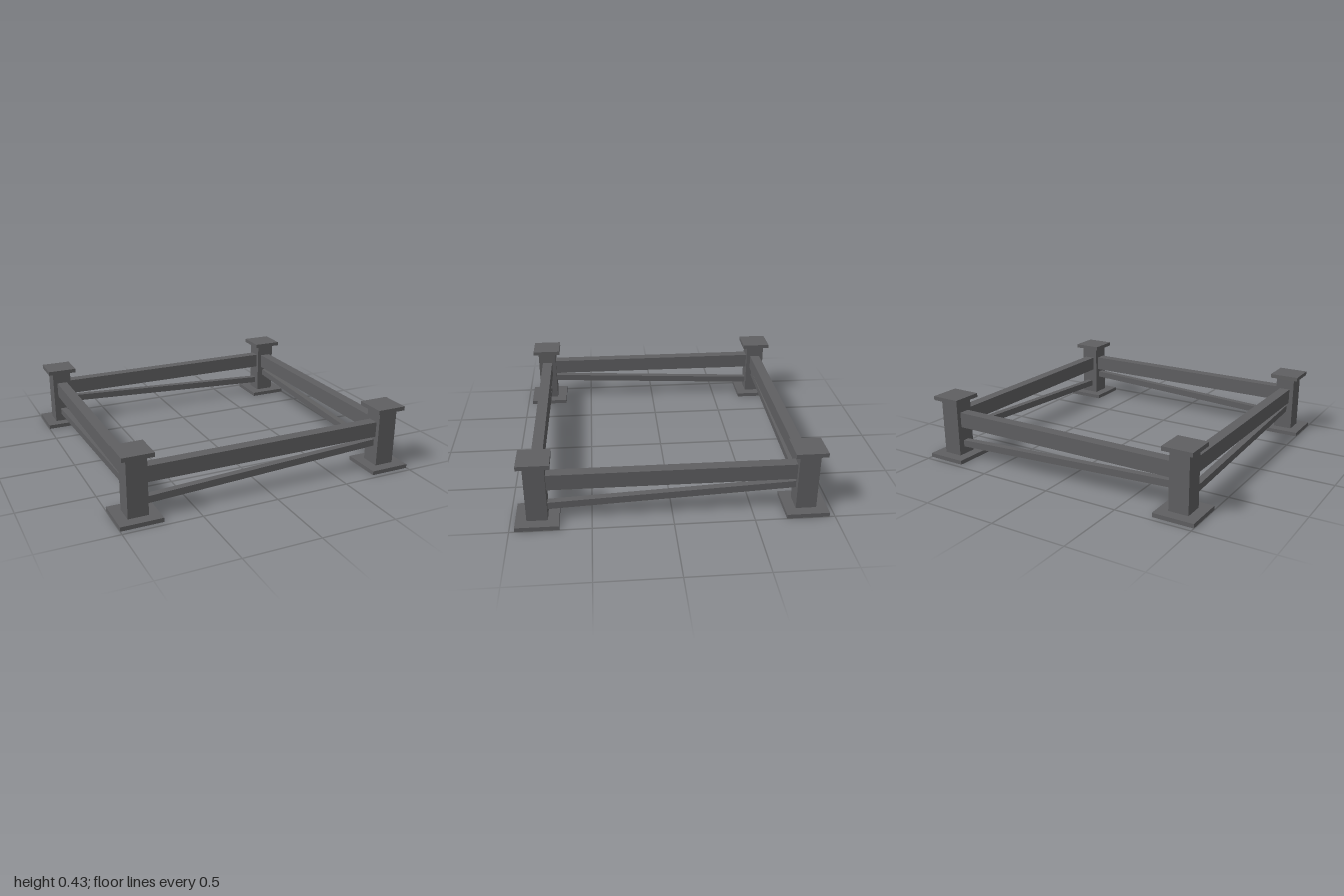
import * as THREE from 'three';

const X = 0.865, Z = 0.832;   // post centres
const POST = 0.13;            // post width

export function createModel() {
  const model = new THREE.Group();
  const steel = new THREE.MeshStandardMaterial({ color: 0x606062 });
  steel.name = 'dark grey steel';

  function box(parent, name, w, h, d, y) {
    const mesh = new THREE.Mesh(new THREE.BoxGeometry(w, h, d), steel);
    mesh.name = name;
    mesh.position.y = y;
    parent.add(mesh);
    return mesh;
  }

  // Four corner posts, each with a wide foot plate and a smaller cap plate
  for (const sx of [-1, 1]) for (const sz of [-1, 1]) {
    const post = new THREE.Group();
    post.name = 'cornerPost';
    post.position.set(sx * X, 0, sz * Z);
    box(post, 'footPlate', 0.268, 0.027, 0.268, 0.0135);
    box(post, 'column', POST, 0.378, POST, 0.216);
    box(post, 'capPlate', 0.2, 0.027, 0.2, 0.4185);
    model.add(post);
  }

  // Each side has a level beam and one brace rising from its left post to its right post
  const names = ['frontSide', 'rightSide', 'backSide', 'leftSide'];
  for (let i = 0; i < 4; i++) {
    const [half, out] = i % 2 ? [Z, X] : [X, Z];
    const span = 2 * half - POST;
    const side = new THREE.Group();
    side.name = names[i];
    side.rotation.y = i * Math.PI / 2;
    box(side, 'beam', span, 0.102, 0.072, 0.274).position.z = out;
    const brace = box(side, 'brace', span + 0.02, 0.045, 0.045, 0.139);
    brace.position.z = out;
    brace.rotation.z = Math.atan2(0.075, span);
    model.add(side);
  }
  return model;
}
